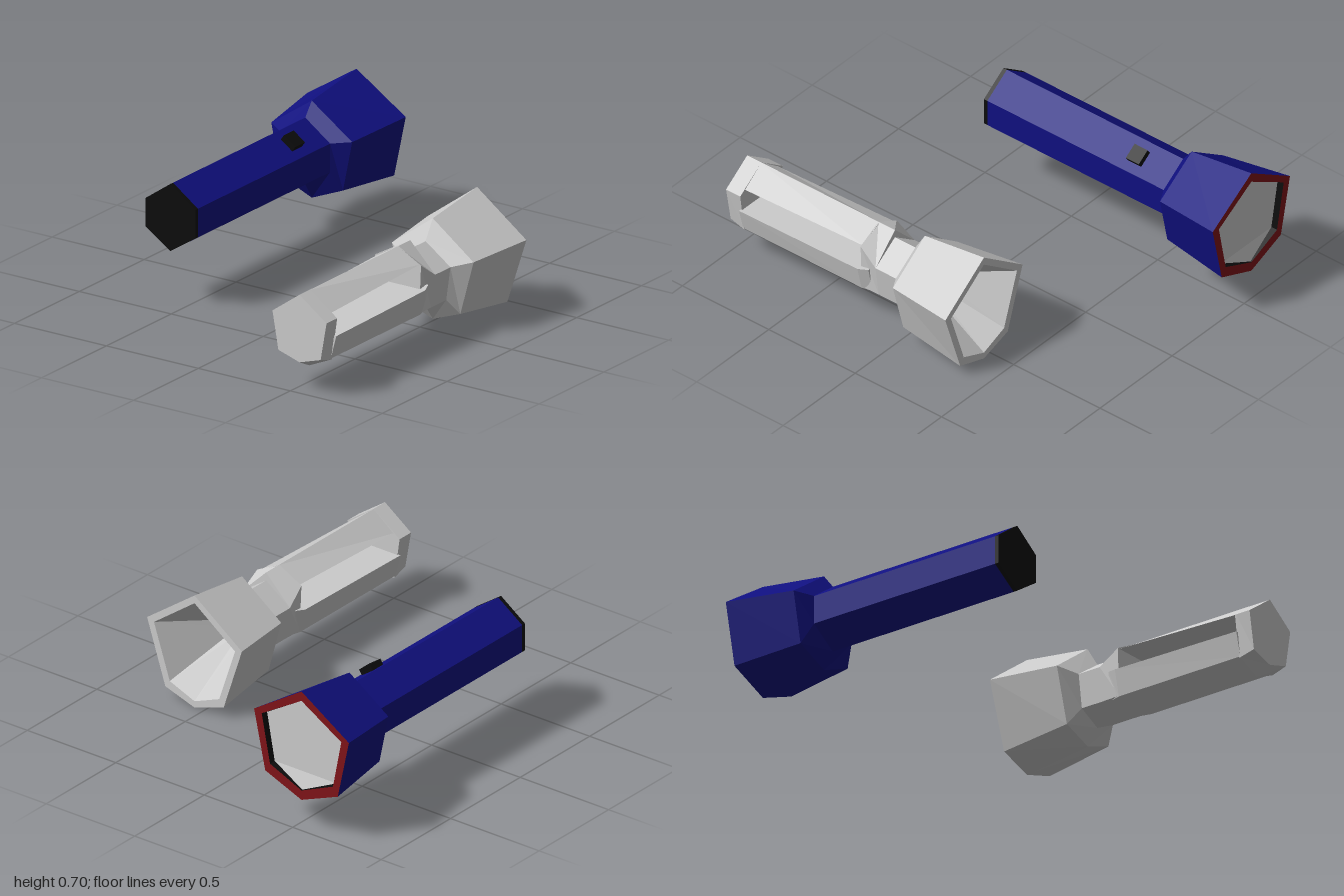
import * as THREE from 'three';

const material = (color) => new THREE.MeshStandardMaterial({ color, flatShading: true, side: THREE.DoubleSide });
const grey = material(0xcccccc), blue = material(0x101080), red = material(0x801418), black = material(0x0c0c0c);

// Six-sided cross-section at x: top ridge, side corners, lower corners, bottom ridge
const hex = (x, top, sideZ, sideY, lowZ, lowY, bottom) => [
  [x, top, 0], [x, sideY, sideZ], [x, lowY, lowZ],
  [x, bottom, 0], [x, lowY, -lowZ], [x, sideY, -sideZ],
];

// Joins cross-sections into a faceted skin, with optional end caps
function loft(name, rings, mat, capStart = false, capEnd = false) {
  const pos = [];
  const tri = (a, b, c) => pos.push(...a, ...b, ...c);
  for (let r = 0; r < rings.length - 1; r++) {
    const a = rings[r], b = rings[r + 1], n = a.length;
    for (let i = 0; i < n; i++) {
      const j = (i + 1) % n;
      tri(a[i], a[j], b[j]);
      tri(a[i], b[j], b[i]);
    }
  }
  const first = rings[0], last = rings[rings.length - 1];
  for (let i = 1; i < first.length - 1; i++) {
    if (capStart) tri(first[0], first[i + 1], first[i]);
    if (capEnd) tri(last[0], last[i], last[i + 1]);
  }
  const geometry = new THREE.BufferGeometry();
  geometry.setAttribute('position', new THREE.Float32BufferAttribute(pos, 3));
  geometry.computeVertexNormals();
  const mesh = new THREE.Mesh(geometry, mat);
  mesh.name = name;
  return mesh;
}

function finishedTorch() {
  const torch = new THREE.Group();
  torch.name = 'finishedTorch';
  torch.position.z = -0.55;
  const grip = (x) => hex(x, 0.59, 0.135, 0.495, 0.135, 0.36, 0.272);
  const mouth = hex(1, 0.702, 0.268, 0.53, 0.205, 0.24, 0.158);
  const inner = hex(1, 0.655, 0.225, 0.52, 0.178, 0.282, 0.205);
  const lens = hex(0.97, 0.65, 0.218, 0.517, 0.175, 0.285, 0.207);

  // Grip, flared collar and head
  torch.add(loft('torchBody', [
    grip(-0.415), grip(0.605),
    hex(0.655, 0.655, 0.22, 0.505, 0.17, 0.265, 0.195), mouth,
  ], blue));

  // Red bezel, dark inner lip
  torch.add(loft('bezel', [mouth, inner], red));
  torch.add(loft('innerLip', [inner, lens], black));

  // Lens with its bottom facet tilted forward
  lens[3][0] = 0.995;
  const p = (i) => lens[i];
  torch.add(loft('lens', [[p(0), p(1), p(2), p(4), p(5)]], grey, false, true));
  torch.add(loft('lensLowerFacet', [[p(2), p(3), p(4)]], grey, false, true));

  // Tail cap
  torch.add(loft('tailCap', [grip(-0.435), grip(-0.415)], black, true));

  // Switch lying on the upper front face of the grip
  const button = new THREE.Mesh(new THREE.BoxGeometry(0.075, 0.035, 0.075), black);
  button.name = 'switch';
  button.position.set(0.405, 0.553, 0.072);
  button.rotation.x = Math.atan2(0.095, 0.135);
  torch.add(button);
  return torch;
}

function openTorch() {
  const torch = new THREE.Group();
  torch.name = 'openTorch';
  torch.position.z = 0.55;

  // Neck, head, rim and hollow reflector as one continuous skin
  torch.add(loft('neckAndHead', [
    hex(-0.24, 0.47, 0.125, 0.405, 0.115, 0.175, 0.12),
    hex(-0.145, 0.47, 0.135, 0.335, 0.112, 0.175, 0.12),
    hex(-0.145, 0.43, 0.135, 0.335, 0.112, 0.175, 0.12),
    hex(-0.027, 0.43, 0.135, 0.335, 0.112, 0.175, 0.12),
    hex(0.028, 0.522, 0.222, 0.36, 0.15, 0.1, 0.045),
    hex(0.37, 0.567, 0.268, 0.372, 0.165, 0.058, 0.004),
    hex(0.37, 0.528, 0.229, 0.36, 0.14, 0.092, 0.036),
    hex(0.03, 0.325, 0.037, 0.296, 0.025, 0.257, 0.25),
  ], grey, true, true));

  // Tail block with a chamfered underside
  torch.add(loft('tailBlock', [
    hex(-1, 0.47, 0.147, 0.365, 0.115, 0.185, 0.15),
    hex(-0.925, 0.47, 0.147, 0.365, 0.118, 0.165, 0.113),
    hex(-0.918, 0.47, 0.147, 0.365, 0.118, 0.165, 0.113),
  ], grey, true, true));

  // Lower half of the grip, below the side slots
  const trough = (x, y, z, bottom) => [
    [x, y, z], [x, 0.17, z * 0.8], [x, bottom, 0], [x, 0.17, -z * 0.8], [x, y, -z],
  ];
  torch.add(loft('lowerGrip', [
    trough(-0.925, 0.282, 0.147, 0.113),
    trough(-0.24, 0.292, 0.147, 0.119),
    trough(-0.19, 0.3, 0.13, 0.12),
  ], grey, true, true));

  // Ridged roof above the side slots
  const roof = (x, y) => [[x, 0.47, 0], [x, y, 0.113], [x, y, -0.113]];
  torch.add(loft('upperGrip', [roof(-0.925, 0.383), roof(-0.235, 0.405)], grey, true, true));
  return torch;
}

export function createModel() {
  const model = new THREE.Group();
  model.name = 'torchPair';
  model.add(finishedTorch(), openTorch());
  return model;
}
